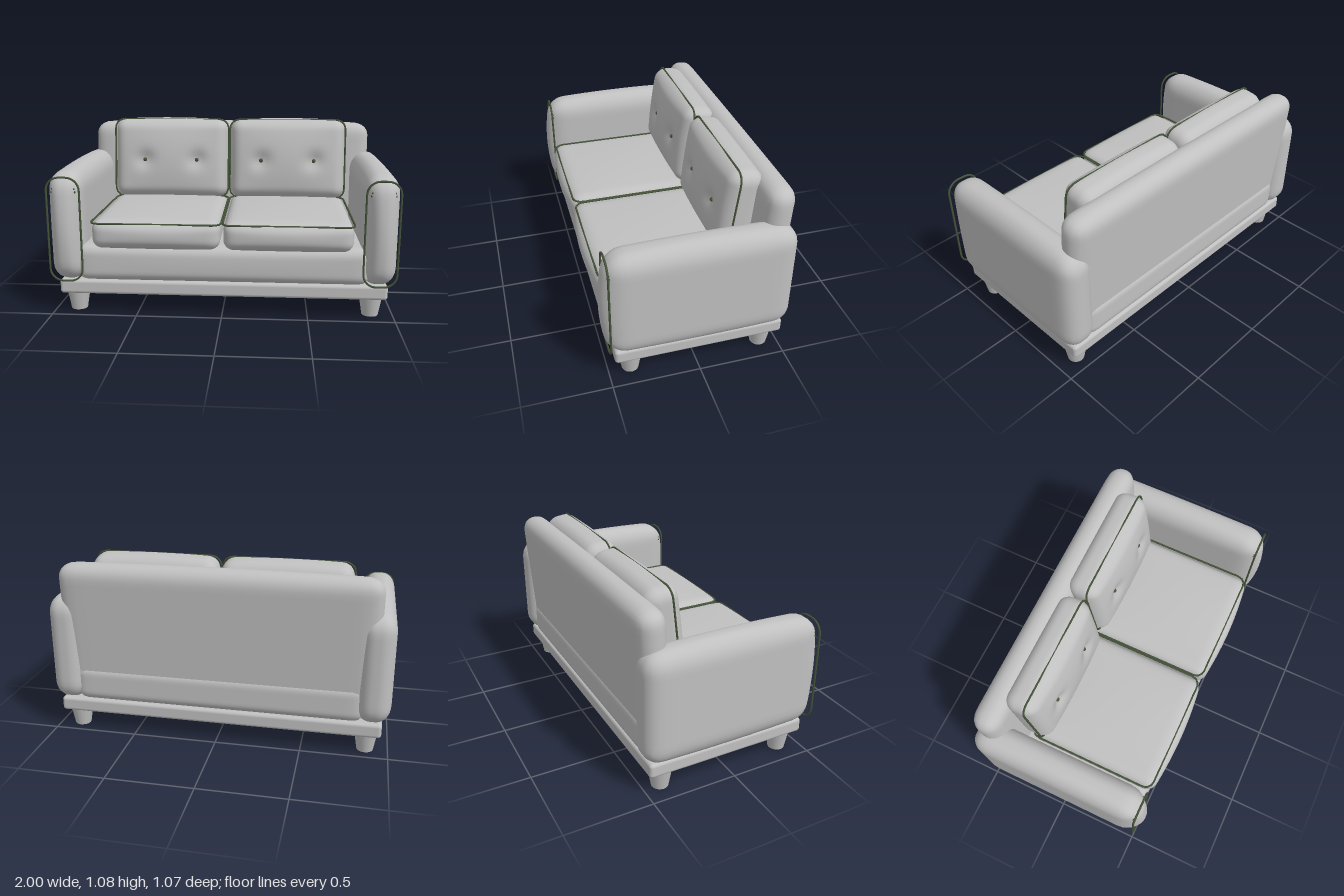
import * as THREE from 'three';
import { mergeVertices } from 'three/addons/utils/BufferGeometryUtils.js';
import { RoundedBoxGeometry } from 'three/addons/geometries/RoundedBoxGeometry.js';

const fabric = new THREE.MeshStandardMaterial({ color: 0xc0c0c0 });
fabric.name = 'grey fabric';
const trim = new THREE.MeshStandardMaterial({ color: 0x46543a });
trim.name = 'dark green trim';

// Padded block: rounded by radii r, swollen by puff (z swells on the front only)
function padded(size, r, puff, n = 24, shape) {
  const half = size.map((s) => s / 2);
  let g = new THREE.BoxGeometry(2, 2, 2, n, n, n);
  g.deleteAttribute('normal');
  g.deleteAttribute('uv');
  g = mergeVertices(g, 1e-5);
  const pos = g.attributes.position;
  for (let i = 0; i < pos.count; i++) {
    // crowd the grid towards the corners
    const q = [pos.getX(i), pos.getY(i), pos.getZ(i)].map((t, k) => Math.sin(t * Math.PI / 2) * half[k]);
    const core = q.map((v, k) => THREE.MathUtils.clamp(v, r[k] - half[k], half[k] - r[k]));
    const d = q.map((v, k) => (v - core[k]) / r[k]);
    const len = Math.hypot(...d) || 1;
    const p = core.map((c, k) => c + (d[k] / len) * r[k]);
    const u = p.map((v, k) => v / half[k]);
    const e = u.map((v) => Math.max(0, 1 - v * v));
    p[0] += puff[0] * u[0] * e[1] * e[2];
    p[1] += puff[1] * u[1] * e[0] * e[2];
    p[2] += puff[2] * Math.max(0, u[2]) * e[0] * e[1];
    if (shape) shape(p);
    pos.setXYZ(i, ...p);
  }
  g.computeVertexNormals();
  return g;
}

// Piping cord around a rounded rectangle in the XY plane
function piping(w, h, r, radius = 0.006) {
  const x = w / 2, y = h / 2;
  const s = new THREE.Shape();
  s.moveTo(-x + r, -y);
  s.lineTo(x - r, -y);
  s.absarc(x - r, -y + r, r, -Math.PI / 2, 0);
  s.lineTo(x, y - r);
  s.absarc(x - r, y - r, r, 0, Math.PI / 2);
  s.lineTo(-x + r, y);
  s.absarc(-x + r, y - r, r, Math.PI / 2, Math.PI);
  s.lineTo(-x, -y + r);
  s.absarc(-x + r, -y + r, r, Math.PI, Math.PI * 1.5);
  const pts = s.getSpacedPoints(72).slice(0, -1).map((p) => new THREE.Vector3(p.x, p.y, 0));
  return new THREE.TubeGeometry(new THREE.CatmullRomCurve3(pts, true), 120, radius, 6, true);
}

function add(parent, name, geometry, material, x = 0, y = 0, z = 0) {
  const m = new THREE.Mesh(geometry, material);
  m.name = name;
  m.position.set(x, y, z);
  parent.add(m);
  return m;
}

export function createModel() {
  const sofa = new THREE.Group();
  sofa.name = 'sofa';

  // Tapered legs
  const leg = new THREE.CylinderGeometry(0.07, 0.048, 0.13, 20);
  for (const x of [-0.87, 0.87])
    for (const z of [0.373, -0.397]) add(sofa, 'leg', leg, fabric, x, 0.065, z);

  // Plinth and upholstered base
  add(sofa, 'plinth', new RoundedBoxGeometry(1.91, 0.087, 0.968, 4, 0.02), fabric, 0, 0.162, -0.012);
  add(sofa, 'base', padded([1.7, 0.22, 0.99], [0.06, 0.06, 0.06], [0, 0, 0.01]), fabric, 0, 0.312, -0.01);

  // Leaning backrest
  const back = add(sofa, 'backrest', padded([1.84, 0.76, 0.17], [0.1, 0.08, 0.08], [0, 0.01, 0.01]), fabric, 0, 0.66, -0.427);
  back.rotation.x = -0.06;

  const armGeo = padded([0.2, 0.635, 1.03], [0.085, 0.1, 0.1], [0, 0.018, 0.04]);
  const armCord = piping(0.19, 0.61, 0.075);
  const stud = new THREE.SphereGeometry(0.007, 8, 6);
  const seatGeo = padded([0.742, 0.17, 0.81], [0.06, 0.06, 0.06], [0, 0.018, 0.028]);
  const seatCord = piping(0.75, 0.79, 0.05);

  // Back cushion with two tufted dimples
  const tufts = [-0.17, 0.17];
  const backGeo = padded([0.742, 0.51, 0.2], [0.07, 0.07, 0.08], [0, 0.012, 0.035], 36, (p) => {
    if (p[2] <= 0.05) return;
    for (const t of tufts)
      p[2] -= 0.03 * Math.exp(-((p[0] - t) ** 2 + (p[1] + 0.01) ** 2) / 0.003);
  });
  const backCord = piping(0.75, 0.51, 0.06);
  const button = new THREE.SphereGeometry(0.013, 12, 8);

  for (const side of [-1, 1]) {
    // Arm with front piping and an arc of studs
    add(sofa, 'arm', armGeo, fabric, side * 0.9, 0.523, -0.015);
    add(sofa, 'armPiping', armCord, trim, side * 0.9, 0.515, 0.5);
    for (let i = 0; i < 9; i++) {
      const a = (i / 8) * Math.PI;
      add(sofa, 'armStud', stud, trim, side * 0.9 + 0.066 * Math.cos(a), 0.735 + 0.045 * Math.sin(a), 0.488);
    }

    // Seat cushion
    add(sofa, 'seatCushion', seatGeo, fabric, side * 0.38, 0.488, 0.105);
    const cord = add(sofa, 'seatPiping', seatCord, trim, side * 0.38, 0.555, 0.105);
    cord.rotation.x = Math.PI / 2;

    // Leaning back cushion
    const cushion = new THREE.Group();
    cushion.name = 'backCushion';
    cushion.position.set(side * 0.38, 0.815, -0.288);
    cushion.rotation.x = -0.12;
    add(cushion, 'backCushionPad', backGeo, fabric);
    add(cushion, 'backPiping', backCord, trim, 0, 0, 0.048);
    for (const t of tufts) add(cushion, 'button', button, trim, t, -0.01, 0.099);
    sofa.add(cushion);
  }
  return sofa;
}
